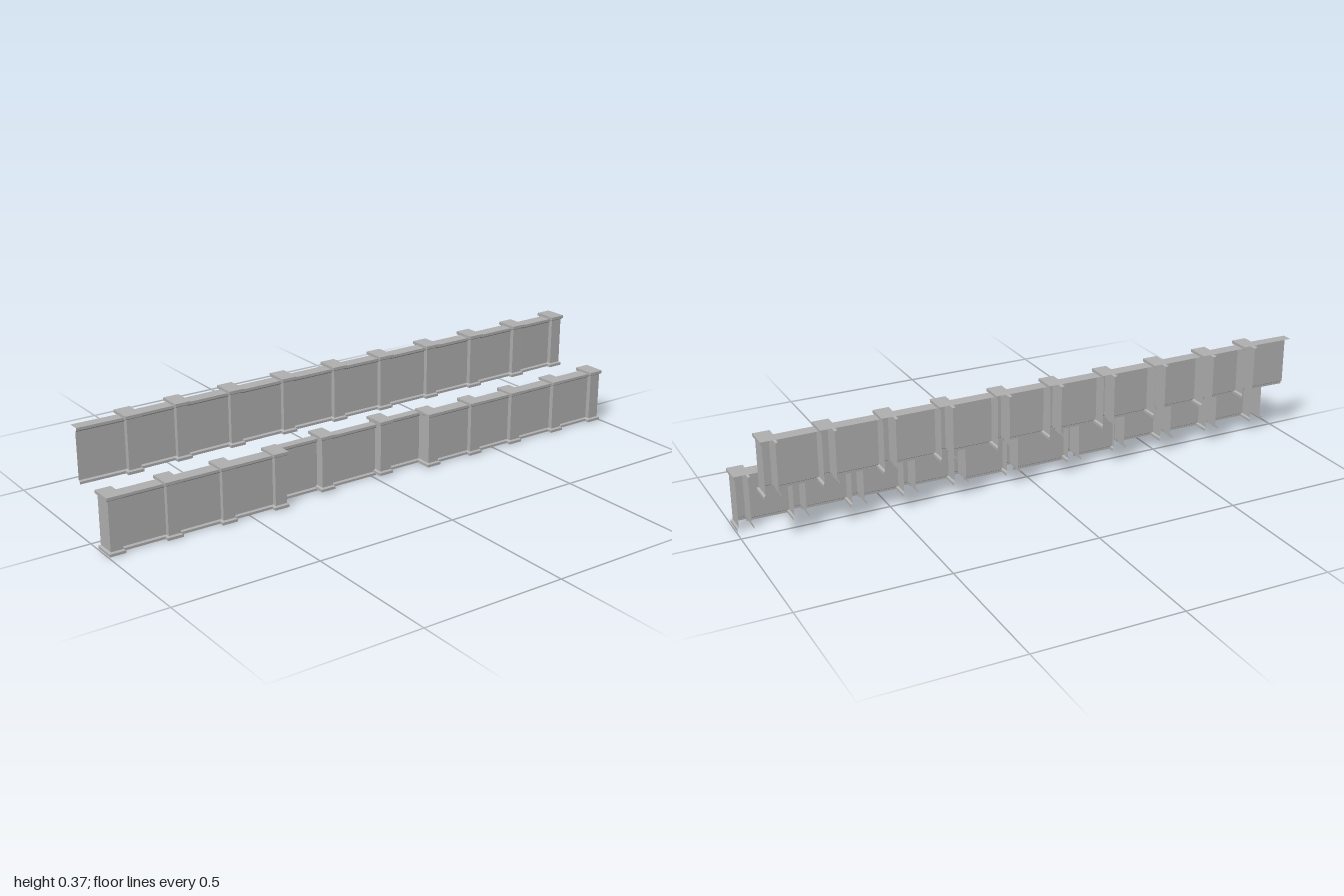
import * as THREE from 'three';

const stone = new THREE.MeshStandardMaterial({ color: 0xb0b0b0, side: THREE.DoubleSide });
stone.name = 'grey stone';

// Flat-shaded sheet joining a list of rows of points
function sheet(rows, name) {
  const pos = [];
  for (let i = 0; i < rows.length - 1; i++) {
    for (let j = 0; j < rows[i].length - 1; j++) {
      const a = rows[i][j], b = rows[i][j + 1], c = rows[i + 1][j + 1], d = rows[i + 1][j];
      pos.push(...a, ...b, ...c, ...a, ...c, ...d);
    }
  }
  const geo = new THREE.BufferGeometry();
  geo.setAttribute('position', new THREE.Float32BufferAttribute(pos, 3));
  geo.computeVertexNormals();
  const mesh = new THREE.Mesh(geo, stone);
  mesh.name = name;
  return mesh;
}

// Pillar: three sides, open at the back, with flared base and cap
function pillar(x, y, zFront) {
  const profile = [[0.006, 0], [0.006, 0.009], [0, 0.013], [0, 0.177], [0.006, 0.181], [0.006, 0.191]];
  const rows = profile.map(([out, h]) => {
    const w = 0.021 + out, f = zFront - 0.006 + out, b = zFront - 0.072 - out;
    return [[x - w, y + h, b], [x - w, y + h, f], [x + w, y + h, f], [x + w, y + h, b]];
  });
  const g = new THREE.Group();
  g.name = 'pillar';
  g.add(sheet(rows, 'pillarShaft'));
  const [a, b, c, d] = rows[rows.length - 1];
  g.add(sheet([[a, d], [b, c]], 'pillarTop'));
  return g;
}

// Wall panel: front face with plinth and coping, open at the back
function panel(x0, x1, y, z0, z1, depth) {
  const profile = [[0, 0], [0, 0.008], [-0.006, 0.012], [-0.006, 0.168], [0, 0.173], [0, 0.182], [-depth, 0.182]];
  return sheet(profile.map(([dz, h]) => [[x0, y + h, z0 + dz], [x1, y + h, z1 + dz]]), 'wallPanel');
}

export function createModel() {
  const model = new THREE.Group();
  model.name = 'pillaredWalls';

  // Front wall, with a recessed middle stretch
  const front = new THREE.Group();
  front.name = 'frontWall';
  const fx = [-0.97, -0.775, -0.582, -0.39, -0.195, 0.04, 0.225, 0.408, 0.59, 0.787, 0.97];
  fx.forEach((x, i) => {
    const mid = i === 4 || i === 5;
    front.add(pillar(x, mid ? 0.008 : 0.002, mid ? 0.1 : 0.123));
    if (i === fx.length - 1) return;
    const recessed = i >= 3 && i <= 5;
    const z = recessed ? 0.068 : 0.107;
    front.add(panel(x + 0.021, fx[i + 1] - 0.021, i === 4 ? 0 : 0.003, z, z, recessed ? 0.032 : 0.046));
  });
  model.add(front);

  // Back wall, higher up and drifting slightly backwards to the model's left
  const back = new THREE.Group();
  back.name = 'backWall';
  const bx = [-0.82, -0.645, -0.45, -0.25, -0.05, 0.14, 0.34, 0.535, 0.735, 0.924];
  const bz = [-0.028, -0.036, -0.038, -0.04, -0.04, -0.04, -0.041, -0.042, -0.043, -0.046];
  back.add(panel(-1, bx[0] - 0.021, 0.178, -0.049, -0.046, 0.038));
  bx.forEach((x, i) => {
    back.add(pillar(x, 0.178, bz[i]));
    if (i === bx.length - 1) return;
    back.add(panel(x + 0.021, bx[i + 1] - 0.021, 0.178, Math.min(bz[i], -0.034) - 0.016, bz[i + 1] - 0.016, 0.044));
  });
  model.add(back);
  return model;
}
